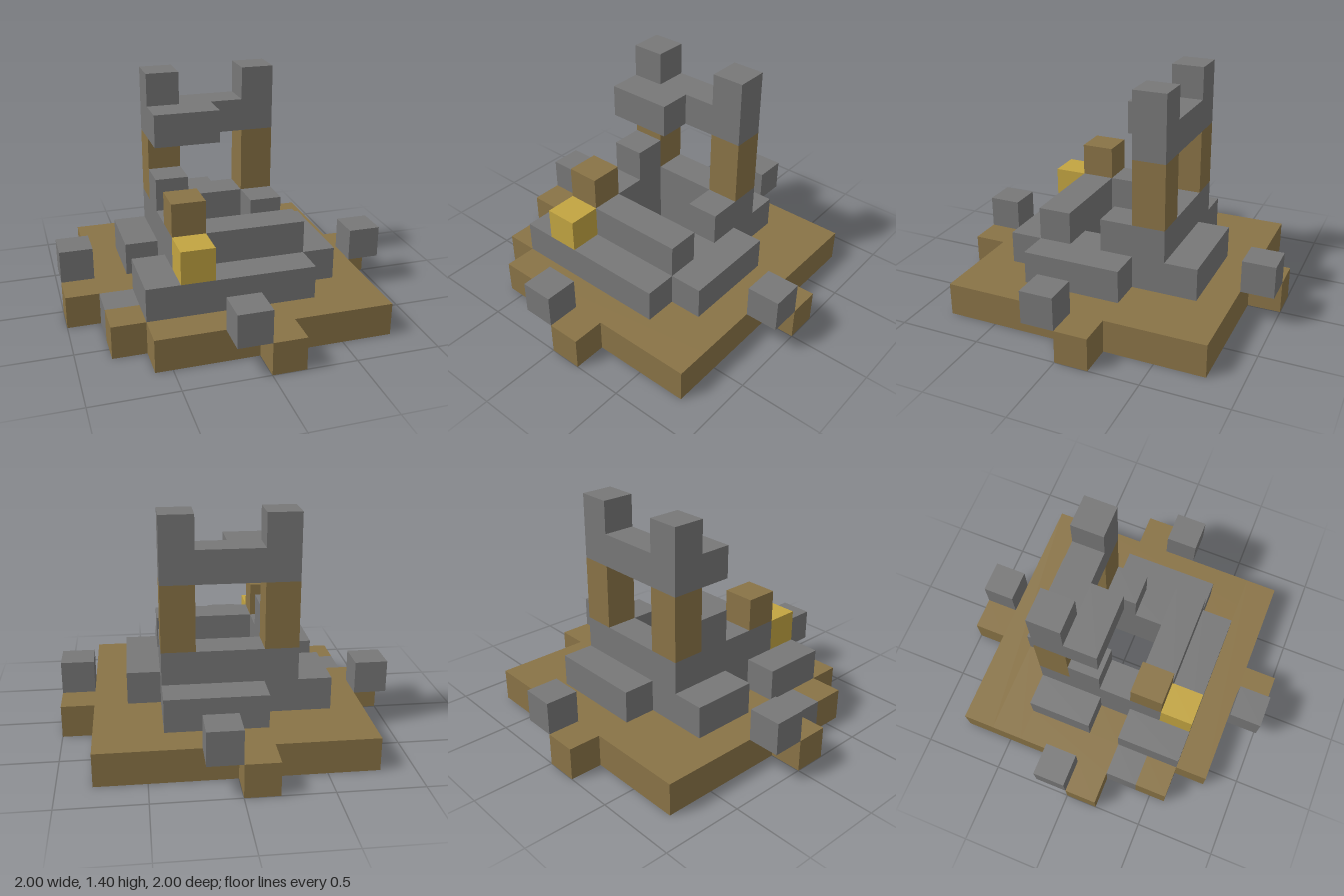
import * as THREE from 'three';

const CELL = 0.2;

export function createModel() {
  const stone = new THREE.MeshStandardMaterial({ color: 0x777777 });
  stone.name = 'stone grey';
  const earth = new THREE.MeshStandardMaterial({ color: 0x897346 });
  earth.name = 'earth brown';
  const gold = new THREE.MeshStandardMaterial({ color: 0xc2a441 });
  gold.name = 'gold';

  const model = new THREE.Group();
  model.name = 'ruinedShrine';

  // Adds a group of blocks; each block is [x0, x1, y0, y1, z0, z1] in grid cells
  // (x and z run 0..10 from -1 to 1, y runs up from the ground).
  function addPart(name, material, blocks) {
    const part = new THREE.Group();
    part.name = name;
    blocks.forEach(([x0, x1, y0, y1, z0, z1], i) => {
      const geo = new THREE.BoxGeometry((x1 - x0) * CELL, (y1 - y0) * CELL, (z1 - z0) * CELL);
      const mesh = new THREE.Mesh(geo, material);
      mesh.name = `${name}Block${i + 1}`;
      mesh.position.set((x0 + x1) * CELL / 2 - 1, (y0 + y1) * CELL / 2, (z0 + z1) * CELL / 2 - 1);
      part.add(mesh);
    });
    model.add(part);
  }

  // Earth frame on the ground, open under the steps, one front corner missing
  addPart('groundFrame', earth, [
    [1, 9, 0, 1, 1, 2],
    [1, 4, 0, 1, 2, 3],
    [1, 2, 0, 1, 3, 6],
    [1, 2, 0, 1, 7, 8],
    [2, 9, 0, 1, 8, 9],
    [8, 9, 0, 1, 2, 8],
    [7, 8, 0, 1, 2, 4],
    [7, 8, 0, 1, 7, 8],
    [2, 3, 0, 1, 5, 6],
  ]);

  // Single earth blocks sticking out of each side
  addPart('groundTab', earth, [
    [0, 1, 0, 1, 5, 6], [9, 10, 0, 1, 4, 5], [4, 5, 0, 1, 0, 1], [5, 6, 0, 1, 9, 10],
  ]);

  // Stone block replacing one piece of the frame
  addPart('frameStone', stone, [[1, 2, 0, 1, 6, 7]]);

  // Raised stones beside the tabs
  addPart('outerStone', stone, [
    [0, 1, 1, 2, 4, 5], [9, 10, 1, 2, 5, 6], [5, 6, 1, 2, 0, 1], [4, 5, 1, 2, 9, 10],
  ]);

  // Square well wall around the open shaft
  addPart('wellWall', stone, [
    [3, 7, 0, 2, 3, 4], [3, 7, 0, 2, 6, 7], [3, 4, 0, 2, 4, 6], [6, 7, 0, 2, 4, 6],
  ]);

  // Lower steps on the four sides of the well
  addPart('lowerStep', stone, [
    [4, 7, 1, 2, 2, 3],
    [2, 3, 1, 2, 3, 5],
    [2, 3, 1, 2, 6, 8],
    [3, 7, 1, 2, 7, 8],
    [7, 8, 1, 2, 4, 7],
  ]);

  // Upper rim, broken on the left side
  addPart('upperRim', stone, [
    [3, 7, 2, 3, 3, 4], [3, 4, 2, 3, 4, 7], [4, 7, 2, 3, 6, 7], [6, 7, 2, 3, 4, 5],
  ]);

  addPart('rimStone', stone, [[3, 4, 3, 4, 4, 5]]);
  addPart('rimStump', earth, [[3, 4, 3, 4, 6, 7]]);
  addPart('goldBlock', gold, [[3, 4, 2, 3, 7, 8]]);

  // Gateway: two posts, a lintel with a broken overhang, two finials
  addPart('gatePost', earth, [3, 6].map((x) => [x, x + 1, 3, 5, 3, 4]));
  addPart('lintel', stone, [[3, 7, 5, 6, 3, 4], [3, 5, 5, 6, 4, 5]]);
  addPart('finial', stone, [3, 6].map((x) => [x, x + 1, 6, 7, 3, 4]));

  return model;
}
